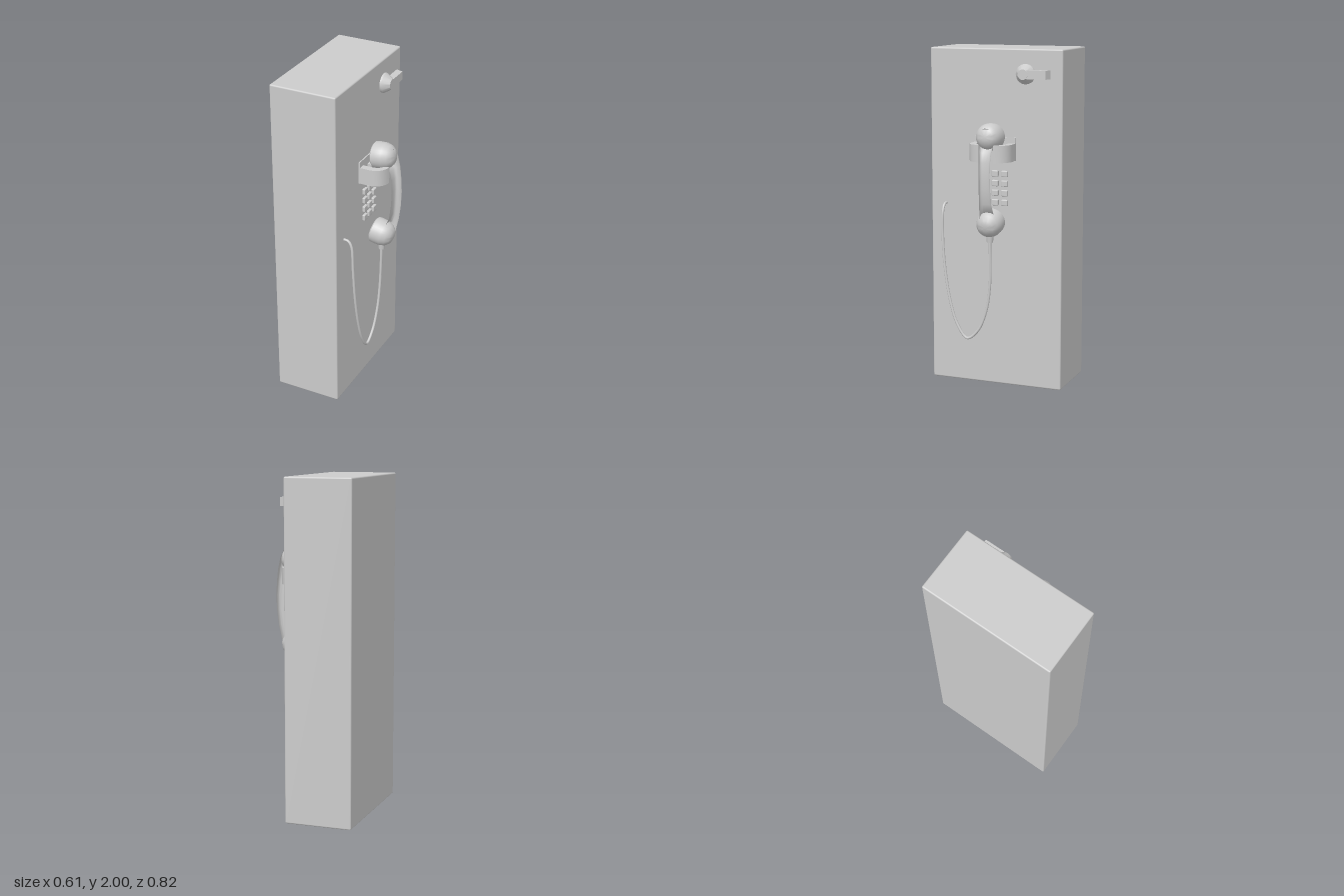
import * as THREE from 'three';
import { RoundedBoxGeometry } from 'three/addons/geometries/RoundedBoxGeometry.js';
import { toCreasedNormals } from 'three/addons/utils/BufferGeometryUtils.js';

const V = (x, y, z) => new THREE.Vector3(x, y, z);
const material = new THREE.MeshStandardMaterial({ color: 0xcccccc });

function add(parent, name, geometry, x = 0, y = 0, z = 0) {
  const mesh = new THREE.Mesh(geometry, material);
  mesh.name = name;
  mesh.position.set(x, y, z);
  parent.add(mesh);
  return mesh;
}

// Round cup whose flat face sits at the origin, opening away from `axis`
function cup(parent, name, x, y, axis) {
  const profile = [[0, 0], [0.068, 0], [0.077, 0.008], [0.079, 0.03], [0.077, 0.07],
    [0.066, 0.1], [0.045, 0.122], [0.02, 0.13], [0, 0.131]].map(p => new THREE.Vector2(...p));
  const geo = toCreasedNormals(new THREE.LatheGeometry(profile, 32), 0.7);
  const mesh = add(parent, name, geo, x, y, 0);
  mesh.quaternion.setFromUnitVectors(V(0, 1, 0), axis.normalize());
}

// Handset grip lofted through sections: outer x,y, inner x,y, half width
function gripGeometry() {
  const stations = [
    [0.255, 1.553, 0.185, 1.46, 0.04], [0.276, 1.51, 0.222, 1.442, 0.043],
    [0.292, 1.44, 0.243, 1.41, 0.038], [0.301, 1.36, 0.252, 1.355, 0.034],
    [0.305, 1.28, 0.255, 1.28, 0.033], [0.301, 1.19, 0.251, 1.195, 0.034],
    [0.289, 1.1, 0.241, 1.112, 0.037], [0.27, 1.02, 0.222, 1.062, 0.043],
    [0.244, 0.937, 0.175, 1.03, 0.04]];
  const n = 20, pos = [], index = [];
  const soft = v => Math.sign(v) * Math.abs(v) ** 0.65;
  for (const [xo, yo, xi, yi, w] of stations) {
    for (let j = 0; j < n; j++) {
      const a = j / n * Math.PI * 2;
      const t = (1 + soft(Math.cos(a))) / 2;
      pos.push(xi + (xo - xi) * t, yi + (yo - yi) * t, w * soft(Math.sin(a)) * (1.1 - 0.35 * t));
    }
  }
  const rows = stations.length;
  for (let i = 0; i < rows - 1; i++) {
    for (let j = 0; j < n; j++) {
      const a = i * n + j, b = i * n + (j + 1) % n;
      index.push(a, a + n, b, b, a + n, b + n);
    }
  }
  // End caps
  for (let j = 1; j < n - 1; j++) {
    const e = (rows - 1) * n;
    index.push(0, j, j + 1, e, e + j + 1, e + j);
  }
  const geo = new THREE.BufferGeometry();
  geo.setAttribute('position', new THREE.Float32BufferAttribute(pos, 3));
  geo.setIndex(index);
  return toCreasedNormals(geo, 0.8);
}

// Curved cradle arm seen from above, extruded upward
function armGeometry(side) {
  const s = new THREE.Shape();
  s.moveTo(0.1, side * 0.128);
  s.lineTo(0.165, side * 0.128);
  s.bezierCurveTo(0.21, side * 0.125, 0.24, side * 0.1, 0.25, side * 0.045);
  s.lineTo(0.222, side * 0.045);
  s.bezierCurveTo(0.215, side * 0.07, 0.195, side * 0.086, 0.16, side * 0.088);
  s.lineTo(0.1, side * 0.088);
  s.closePath();
  const geo = new THREE.ExtrudeGeometry(s, { depth: 0.1, bevelEnabled: false, curveSegments: 12 });
  geo.rotateX(-Math.PI / 2);
  return toCreasedNormals(geo, 0.6);
}

export function createModel() {
  const model = new THREE.Group();
  model.name = 'wallTelephone';

  // Cabinet
  add(model, 'cabinet', new RoundedBoxGeometry(0.404, 2, 0.82, 3, 0.009), -0.105, 1, 0);

  // Lever: round boss with a tapering finger pointing backwards
  const lever = new THREE.Group();
  lever.name = 'lever';
  model.add(lever);
  const boss = [[0, 0], [0.058, 0], [0.058, 0.012], [0.03, 0.055], [0, 0.055]]
    .map(p => new THREE.Vector2(...p));
  add(lever, 'leverBoss', toCreasedNormals(new THREE.LatheGeometry(boss, 28), 0.5), 0.096, 1.857, -0.187)
    .rotation.z = -Math.PI / 2;
  const finger = new THREE.Shape([[0.107, 0.187], [0.107, 0.34], [0.15, 0.326], [0.15, 0.187]]
    .map(p => new THREE.Vector2(...p)));
  const fingerGeo = new THREE.ExtrudeGeometry(finger, { depth: 0.05, bevelEnabled: false });
  fingerGeo.rotateX(-Math.PI / 2);
  add(lever, 'leverFinger', fingerGeo, 0, 1.832, 0);

  // Cradle
  const cradle = new THREE.Group();
  cradle.name = 'cradle';
  model.add(cradle);
  add(cradle, 'cradlePlate', new THREE.BoxGeometry(0.009, 0.135, 0.256), 0.1, 1.422, 0);
  for (const side of [-1, 1]) add(cradle, 'cradleArm', armGeometry(side), 0, 1.356, 0);
  add(cradle, 'hookSwitch', new THREE.BoxGeometry(0.032, 0.06, 0.064), 0.115, 1.41, 0);

  // Keypad
  const keypad = new THREE.Group();
  keypad.name = 'keypad';
  model.add(keypad);
  for (let row = 0; row < 4; row++) {
    for (let col = -1; col <= 1; col++) {
      add(keypad, 'key', new RoundedBoxGeometry(0.022, 0.036, 0.04, 2, 0.005),
        0.102, 1.275 - row * 0.057, col * 0.059);
    }
  }

  // Handset
  const handset = new THREE.Group();
  handset.name = 'handset';
  model.add(handset);
  add(handset, 'grip', gripGeometry());
  cup(handset, 'earpiece', 0.135, 1.494, V(1, 0.08, 0));
  cup(handset, 'mouthpiece', 0.134, 1.003, V(1, -0.22, 0));
  add(handset, 'cordSleeve', new THREE.CylinderGeometry(0.024, 0.018, 0.055, 20), 0.186, 0.907, 0);

  // Hanging cord
  const path = new THREE.CatmullRomCurve3([
    V(0.09, 1.083, 0.315), V(0.125, 1.079, 0.315), V(0.146, 1.045, 0.316), V(0.155, 0.9, 0.315),
    V(0.16, 0.7, 0.3), V(0.164, 0.5, 0.265), V(0.167, 0.36, 0.218), V(0.168, 0.282, 0.155),
    V(0.171, 0.335, 0.085), V(0.175, 0.46, 0.03), V(0.179, 0.62, 0.004), V(0.186, 0.9, 0)]);
  add(model, 'cord', new THREE.TubeGeometry(path, 100, 0.008, 10));

  return model;
}
